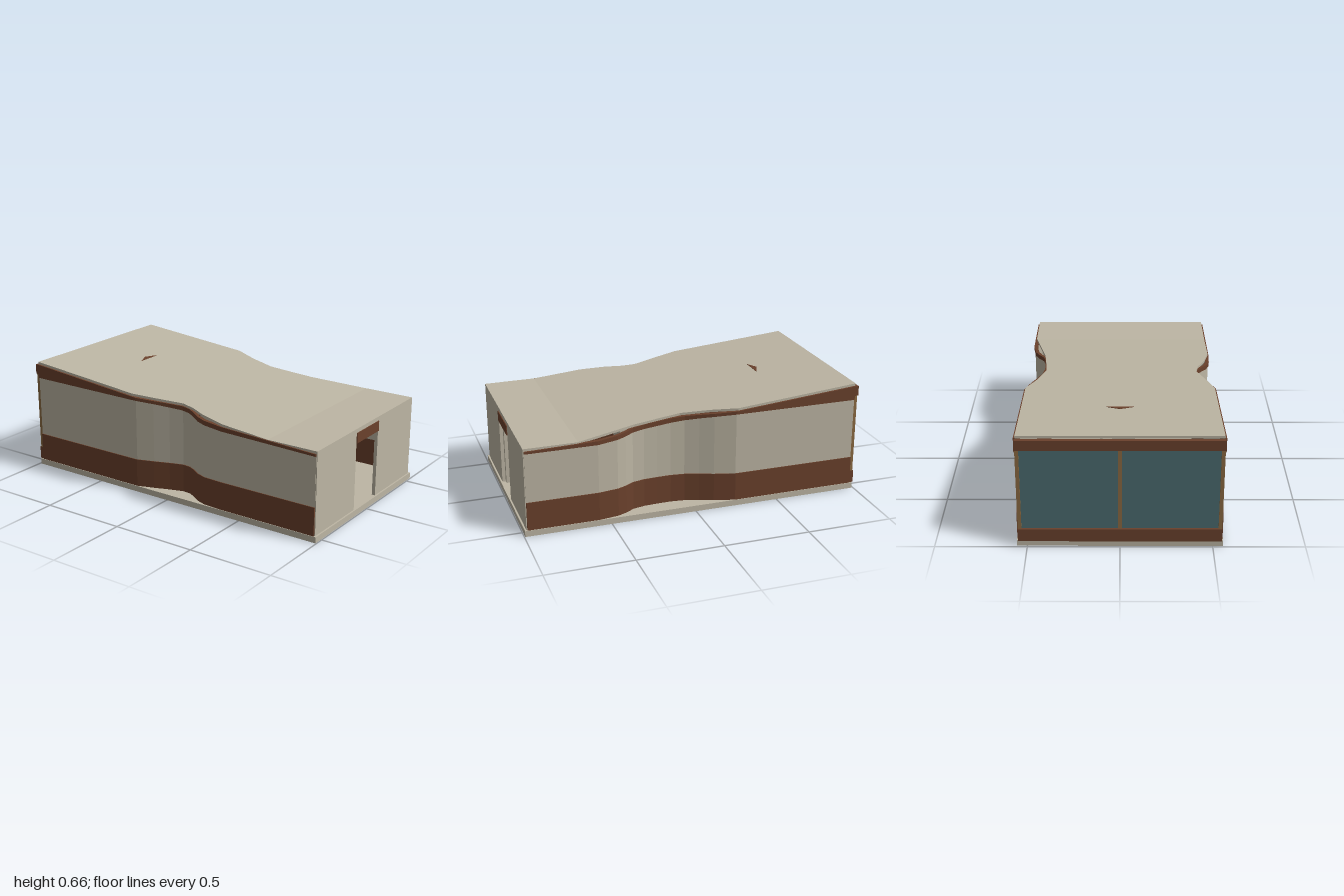
import * as THREE from 'three';
import { mergeGeometries } from 'three/addons/utils/BufferGeometryUtils.js';

const mat = (name, color) => {
  const m = new THREE.MeshStandardMaterial({ color });
  m.name = name;
  return m;
};

// Piecewise linear lookup through [z, value] pairs with rising z
function lookup(points, z) {
  if (z <= points[0][0]) return points[0][1];
  for (let i = 1; i < points.length; i++) {
    const [z0, v0] = points[i - 1], [z1, v1] = points[i];
    if (z <= z1) return v0 + (v1 - v0) * (z - z0) / (z1 - z0);
  }
  return points[points.length - 1][1];
}

// Box between z0 and z1 whose sides, bottom and top follow functions of z
function prism(z0, z1, xMin, xMax, yMin, yMax) {
  const g = new THREE.BoxGeometry(1, 1, 1), p = g.attributes.position;
  for (let i = 0; i < p.count; i++) {
    const z = p.getZ(i) > 0 ? z1 : z0;
    p.setXYZ(i, (p.getX(i) > 0 ? xMax : xMin)(z), (p.getY(i) > 0 ? yMax : yMin)(z), z);
  }
  g.computeVertexNormals();
  return g;
}

function strip(zs, xMin, xMax, yMin, yMax) {
  return mergeGeometries(zs.slice(1).map((z, i) => prism(zs[i], z, xMin, xMax, yMin, yMax)));
}

export function createModel() {
  const group = new THREE.Group();
  const cream = mat('cream plaster', 0xbdb6a4);
  const brown = mat('brown timber', 0x6b412c);
  const teal = mat('teal glass', 0x4c6c70);
  const tan = mat('tan frame', 0x8c6b42);

  const add = (name, geometry, material) => {
    const mesh = new THREE.Mesh(geometry, material);
    mesh.name = name;
    group.add(mesh);
    return mesh;
  };
  const box = (name, material, x0, x1, y0, y1, z0, z1) => {
    const g = new THREE.BoxGeometry(x1 - x0, y1 - y0, z1 - z0);
    g.translate((x0 + x1) / 2, (y0 + y1) / 2, (z0 + z1) / 2);
    return add(name, g, material);
  };

  // Floor slab
  box('floorSlab', cream, -0.556, 0.556, 0, 0.035, -0.99, 0.995);

  // Roof: flat at the front, rising to the back, pinched at the waist
  const roofTop = z => lookup([[-0.98, 0.661], [0.68, 0.515]], z);
  const roofBottom = z => roofTop(z) - 0.014;
  const roofRight = [[-0.98, 0.545], [-0.25, 0.545], [-0.1, 0.485], [0.06, 0.443],
    [0.16, 0.45], [0.34, 0.467], [0.5, 0.503], [0.69, 0.545], [0.985, 0.545]];
  const roofLeft = [[-0.98, 0.545], [-0.25, 0.545], [-0.11, 0.505], [0.05, 0.455],
    [0.13, 0.47], [0.23, 0.512], [0.38, 0.547], [0.68, 0.547], [0.985, 0.545]];
  const roofZ = [...new Set([...roofRight, ...roofLeft].map(p => p[0]))].sort((a, b) => a - b);
  add('roof', strip(roofZ, z => -lookup(roofLeft, z), z => lookup(roofRight, z),
    roofBottom, roofTop), cream);

  // Curved side walls: brown plinth, cream middle, brown band up to the roof
  const rightWall = [[-0.975, 0.548], [-0.24, 0.548], [-0.12, 0.515], [-0.04, 0.485], [0.04, 0.46],
    [0.12, 0.451], [0.2, 0.452], [0.28, 0.457], [0.35, 0.473], [0.4, 0.505], [0.455, 0.53],
    [0.57, 0.548], [0.98, 0.548]];
  const leftWall = [[-0.975, 0.548], [-0.22, 0.548], [-0.12, 0.515], [-0.03, 0.482], [0.05, 0.457],
    [0.1, 0.462], [0.15, 0.487], [0.2, 0.52], [0.26, 0.541], [0.38, 0.548], [0.98, 0.548]];
  const creamTop = [[-0.24, 0.563], [-0.12, 0.552], [0.04, 0.532], [0.2, 0.515],
    [0.35, 0.503], [0.455, 0.495], [0.57, 0.487]];
  const level = y => () => y;
  for (const [side, s, wall] of [['right', -1, leftWall], ['left', 1, rightWall]]) {
    const zs = wall.map(p => p[0]);
    const layer = (name, material, out, y0, y1) => {
      const outer = z => s * (lookup(wall, z) + out);
      const inner = z => s * (lookup(wall, z) - 0.016);
      add(side + name, strip(zs, s > 0 ? inner : outer, s > 0 ? outer : inner, y0, y1), material);
    };
    const top = z => lookup(creamTop, z);
    layer('Plinth', brown, 0.005, level(0.035), level(0.2));
    layer('Wall', cream, 0, level(0.2), top);
    layer('UpperBand', brown, 0.006, top, z => roofBottom(z) - 0.001);
  }

  // Front wall with doorway, header and an open door leaf
  for (const s of [-1, 1]) {
    const [x0, x1] = s < 0 ? [-0.545, -0.125] : [0.125, 0.545];
    box('frontWall', cream, x0, x1, 0.035, 0.491, 0.965, 0.985);
  }
  box('frontFascia', cream, -0.545, 0.545, 0.491, 0.502, 0.965, 0.985);
  box('doorHeader', brown, -0.125, 0.125, 0.431, 0.491, 0.965, 0.99);
  box('doorLeaf', cream, -0.125, -0.1, 0.035, 0.43, 0.72, 0.965);

  // Interior partition, its capping and a low wall
  box('partition', cream, -0.09, 0.05, 0.035, 0.41, -0.1, 0.3);
  box('partitionCap', brown, -0.1, 0.05, 0.41, 0.42, -0.1, 0.305);
  box('lowWall', cream, 0.11, 0.125, 0.035, 0.21, 0.1, 0.6);

  // Glazed back wall
  box('backSill', brown, -0.548, 0.548, 0.035, 0.11, -1, -0.976);
  box('backBeam', brown, -0.548, 0.548, 0.585, 0.643, -1, -0.976);
  box('backGlass', teal, -0.54, 0.54, 0.11, 0.585, -0.986, -0.979);
  for (const x of [-0.538, 0, 0.538])
    box('backMullion', tan, x - 0.01, x + 0.01, 0.11, 0.585, -0.993, -0.975);

  // Small triangular ridge on the roof
  const tri = new THREE.Shape([[-0.075, -0.56], [0.075, -0.56], [0, -0.592]]
    .map(([x, z]) => new THREE.Vector2(x, -z)));
  const ridge = new THREE.ExtrudeGeometry(tri, { depth: 0.003, bevelEnabled: false });
  ridge.rotateX(-Math.PI / 2);
  const p = ridge.attributes.position;
  for (let i = 0; i < p.count; i++) p.setY(i, p.getY(i) + roofTop(p.getZ(i)) - 0.001);
  ridge.computeVertexNormals();
  add('roofRidge', ridge, brown);

  return group;
}
